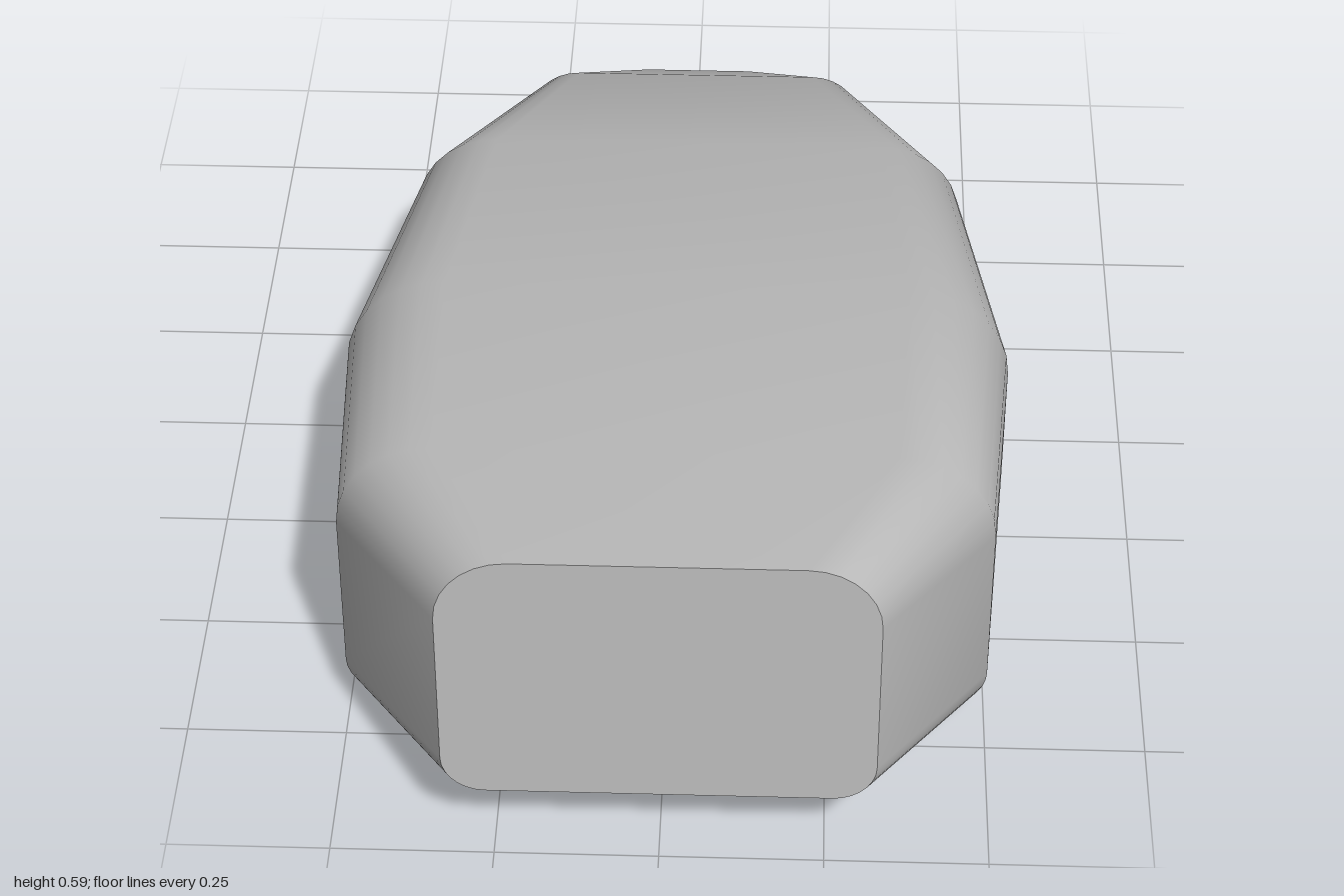
import * as THREE from 'three';
import { toCreasedNormals } from 'three/addons/utils/BufferGeometryUtils.js';

// Cross-sections, front to back: z, half width, bottom, top, upper radius, lower radius
const SECTIONS = [
  [1.0, 0.325, 0.132, 0.587, 0.11, 0.065],
  [0.7, 0.5, 0.047, 0.545, 0.15, 0.065],
  [0.18, 0.54, 0, 0.457, 0.165, 0.065],
  [-0.4, 0.475, 0, 0.325, 0.14, 0.055],
  [-0.83, 0.302, 0, 0.172, 0.085, 0.04],
  [-1.0, 0.13, 0, 0.065, 0.035, 0.02],
];
const ARC = 7;

// Rounded rectangle, counter-clockwise as seen from the front
function ring([z, w, y0, y1, rt, rb]) {
  const corners = [
    [w - rb, y0 + rb, rb, -Math.PI / 2],
    [w - rt, y1 - rt, rt, 0],
    [rt - w, y1 - rt, rt, Math.PI / 2],
    [rb - w, y0 + rb, rb, Math.PI],
  ];
  const pts = [];
  for (const [cx, cy, r, start] of corners) {
    for (let k = 0; k <= ARC; k++) {
      const a = start + (k / ARC) * Math.PI / 2;
      pts.push([cx + r * Math.cos(a), cy + r * Math.sin(a), z]);
    }
  }
  return pts;
}

function loft(sections) {
  const rings = sections.map(ring);
  const n = rings[0].length;
  const positions = rings.flat(2);
  const index = [];
  // Skin between neighbouring sections
  for (let i = 0; i < rings.length - 1; i++) {
    for (let j = 0; j < n; j++) {
      const k = (j + 1) % n;
      const a = i * n + j, b = (i + 1) * n + j;
      const c = (i + 1) * n + k, d = i * n + k;
      index.push(a, b, c, a, c, d);
    }
  }
  // Flat end faces
  const last = (rings.length - 1) * n;
  for (let j = 1; j < n - 1; j++) {
    index.push(0, j, j + 1);
    index.push(last, last + j + 1, last + j);
  }
  const geometry = new THREE.BufferGeometry();
  geometry.setAttribute('position', new THREE.Float32BufferAttribute(positions, 3));
  geometry.setIndex(index);
  return toCreasedNormals(geometry, 0.5);
}

export function createModel() {
  const grey = new THREE.MeshStandardMaterial({ color: 0xc0c0c0 });
  grey.name = 'light grey';

  const body = new THREE.Mesh(loft(SECTIONS), grey);
  body.name = 'taperedBody';

  const model = new THREE.Group();
  model.name = 'taperedShell';
  model.add(body);
  return model;
}
